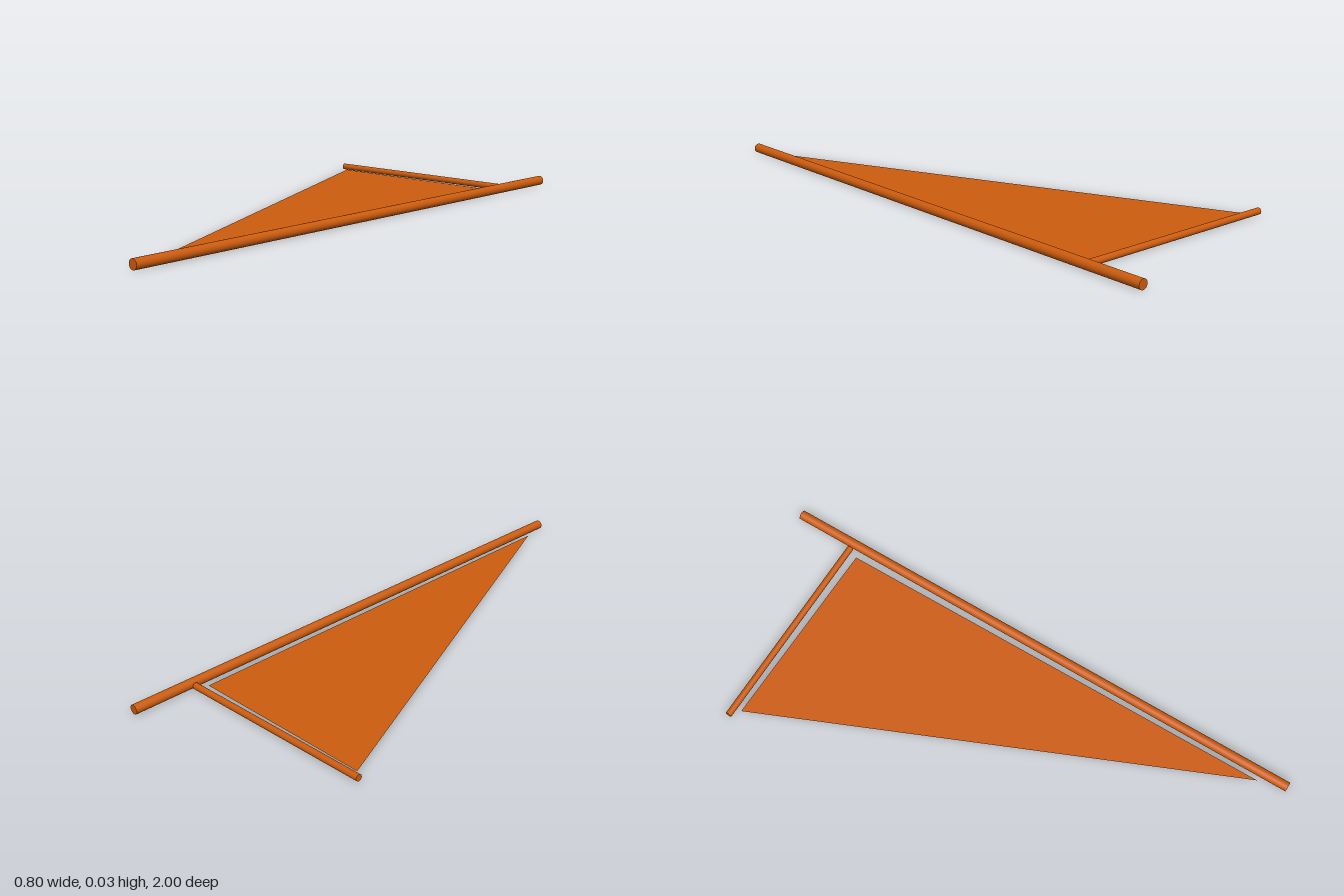
import * as THREE from 'three';

export function createModel() {
  const model = new THREE.Group();
  const orange = new THREE.MeshStandardMaterial({ color: 0xcc5c0e, side: THREE.DoubleSide });
  orange.name = 'burnt orange';

  // Round pole between two points
  function pole(name, from, to, radius) {
    const a = new THREE.Vector3(...from), b = new THREE.Vector3(...to);
    const mesh = new THREE.Mesh(new THREE.CylinderGeometry(radius, radius, a.distanceTo(b), 20), orange);
    mesh.name = name;
    mesh.position.copy(a).add(b).multiplyScalar(0.5);
    mesh.quaternion.setFromUnitVectors(new THREE.Vector3(0, 1, 0), b.sub(a).normalize());
    model.add(mesh);
  }
  pole('mast', [0.384, 0.0175, -1], [0.384, 0.0175, 1], 0.0168);
  pole('boom', [-0.401, 0.015, -0.774], [0.364, 0.015, -0.774], 0.0115);

  // Flat triangular sail lying between the poles; shape y becomes -z
  const outline = new THREE.Shape([
    new THREE.Vector2(-0.365, 0.747),
    new THREE.Vector2(0.354, -0.9),
    new THREE.Vector2(0.345, 0.737),
  ]);
  const sail = new THREE.Mesh(new THREE.ShapeGeometry(outline), orange);
  sail.name = 'sail';
  sail.rotation.x = -Math.PI / 2;
  sail.position.y = 0.008;
  model.add(sail);

  return model;
}
